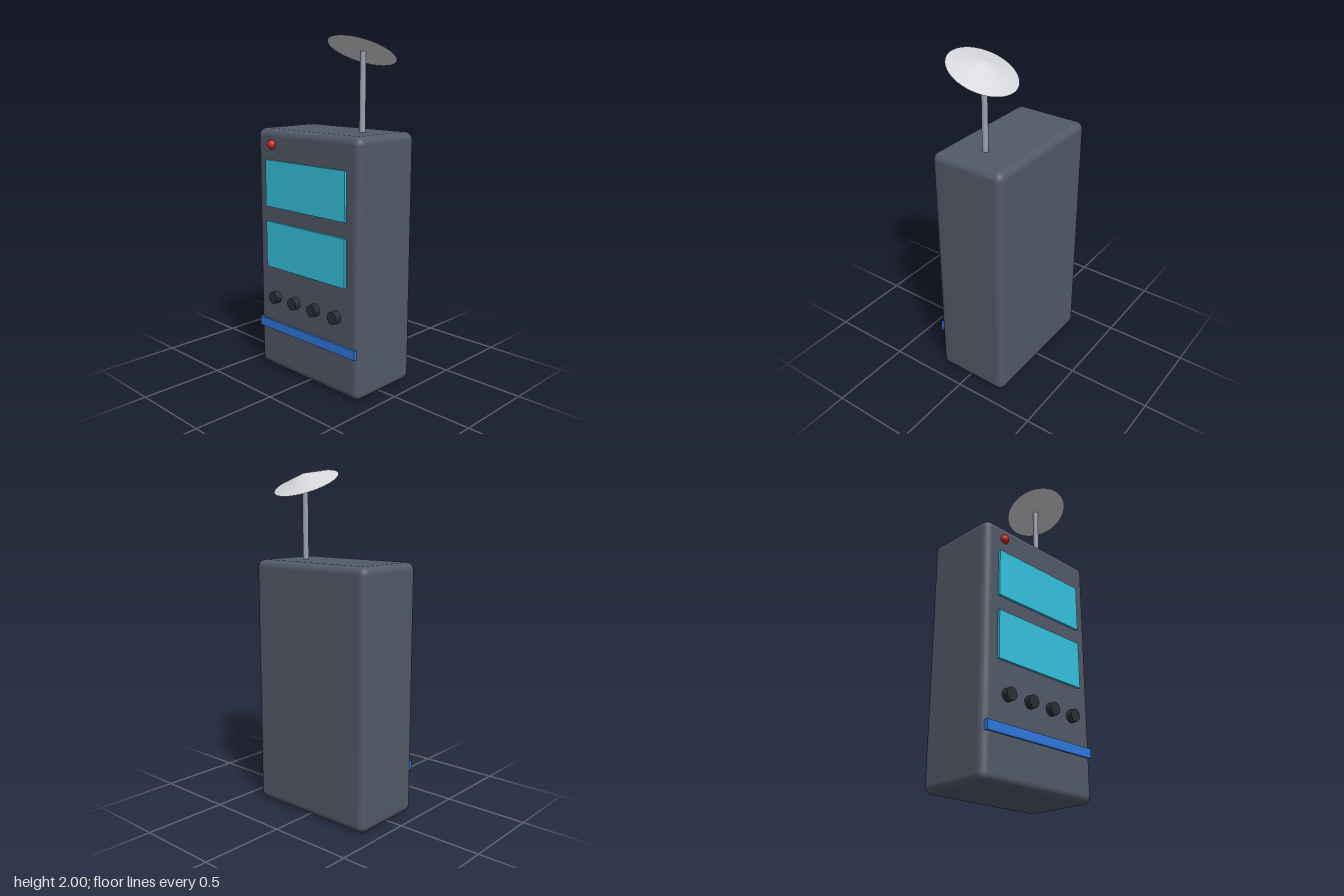
import * as THREE from 'three';
import { RoundedBoxGeometry } from 'three/addons/geometries/RoundedBoxGeometry.js';

const mat = (name, color) => {
  const m = new THREE.MeshStandardMaterial({ color });
  m.name = name;
  return m;
};

export function createModel() {
  const group = new THREE.Group();
  const casing = mat('slate casing', 0x525968);
  const cyan = mat('cyan screen', 0x35c4e0);
  const blue = mat('blue trim', 0x2f78dc);
  const dark = mat('dark knob', 0x2b3036);
  const red = mat('red lamp', 0xcc2a20);
  const steel = mat('steel mast', 0x9aa2b0);
  const pale = mat('pale dish', 0xd6d7dc);

  const add = (name, geometry, material, x, y, z) => {
    const mesh = new THREE.Mesh(geometry, material);
    mesh.name = name;
    mesh.position.set(x, y, z);
    group.add(mesh);
    return mesh;
  };

  // Cabinet
  add('cabinet', new RoundedBoxGeometry(0.83, 1.48, 0.46, 4, 0.045), casing, -0.006, 0.74, -0.02);

  // Two screens on the front
  for (const y of [1.16, 0.79]) {
    add('screen', new THREE.BoxGeometry(0.645, 0.28, 0.025), cyan, -0.007, y, 0.2125);
  }

  // Row of knobs
  for (let i = 0; i < 4; i++) {
    const knob = new THREE.CylinderGeometry(0.037, 0.037, 0.045, 20);
    knob.rotateX(Math.PI / 2);
    add('knob', knob, dark, -0.257 + i * 0.166, 0.466, 0.2245);
  }

  // Trim strip and warning lamp
  add('trimStrip', new THREE.BoxGeometry(0.795, 0.055, 0.025), blue, -0.007, 0.28, 0.2095);
  add('lamp', new THREE.SphereGeometry(0.028, 20, 14), red, -0.285, 1.39, 0.211);

  // Antenna mast
  add('mast', new THREE.CylinderGeometry(0.016, 0.018, 0.46, 16), steel, 0.222, 1.69, -0.015);

  // Tilted dish: shallow smooth cone, closed underneath
  const dish = new THREE.Group();
  dish.name = 'dish';
  dish.position.set(0.222, 1.92, -0.007);
  dish.rotation.x = -0.42;
  const profile = [[0.196, 0], [0.02, 0.053], [0, 0.054]].map(([r, y]) => new THREE.Vector2(r, y));
  const shell = new THREE.Mesh(new THREE.LatheGeometry(profile, 48), pale);
  shell.name = 'dishShell';
  const base = new THREE.Mesh(new THREE.CircleGeometry(0.196, 48), pale);
  base.name = 'dishUnderside';
  base.rotation.x = Math.PI / 2;
  dish.add(shell, base);
  group.add(dish);

  return group;
}
